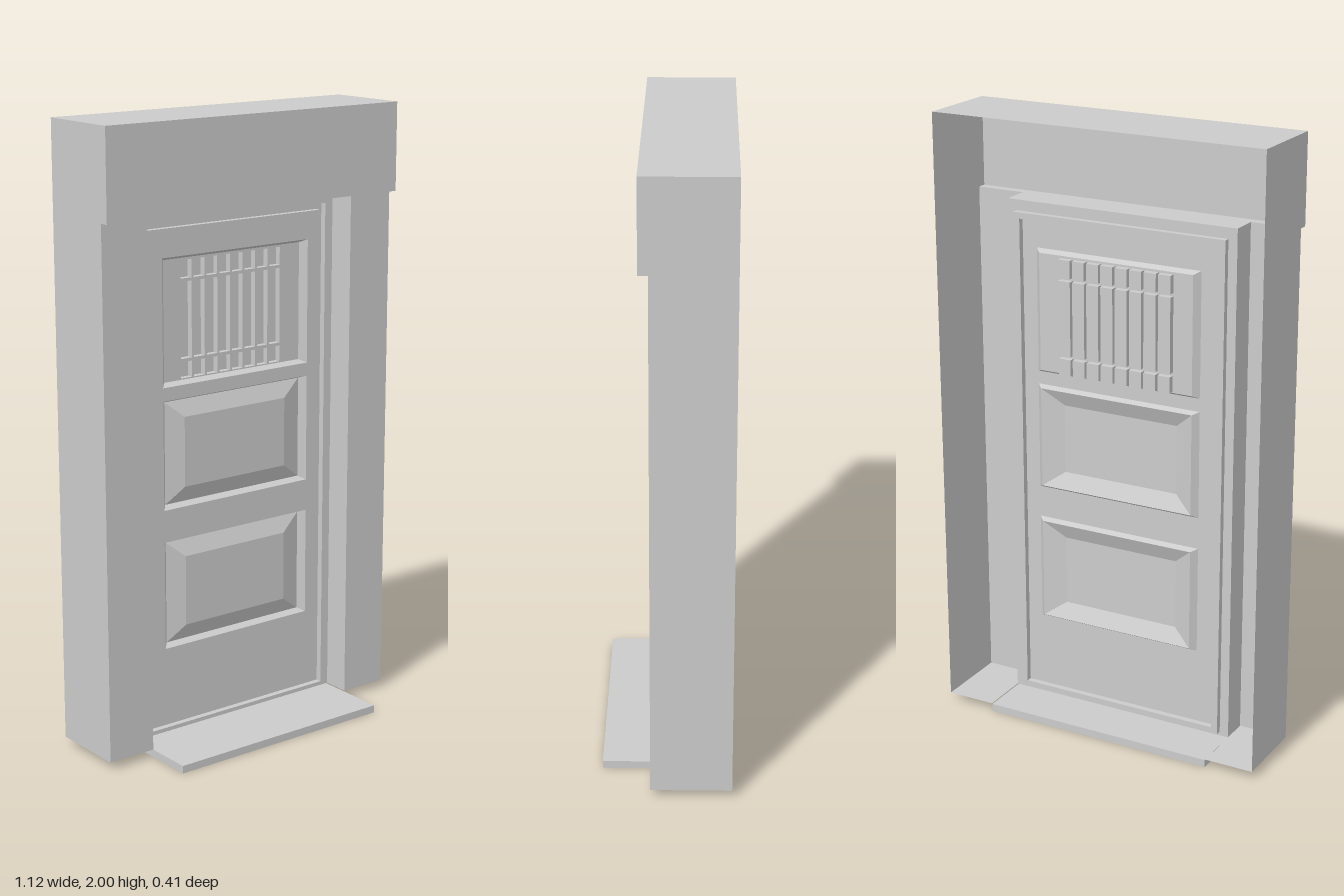
import * as THREE from 'three';

const material = new THREE.MeshStandardMaterial({ color: 0xcccccc, side: THREE.DoubleSide, flatShading: true });

// Main dimensions
const W = 0.56, OPEN = 0.397, BASE = 0.027, HEAD = 1.715, TOP = 2;
const BACK = -0.205, FRONT = 0.05, LINTEL = 0.08, DOOR = -0.04;

function add(parent, name, geometry) {
  const mesh = new THREE.Mesh(geometry, material);
  mesh.name = name;
  parent.add(mesh);
  return mesh;
}

// Sheet of flat quads, each given by four corners
function quads(list) {
  const pos = [];
  for (const [a, b, c, d] of list) pos.push(...a, ...b, ...c, ...a, ...c, ...d);
  const g = new THREE.BufferGeometry();
  g.setAttribute('position', new THREE.Float32BufferAttribute(pos, 3));
  g.computeVertexNormals();
  return g;
}

// Rectangle r = [x0, y0, x1, y1] as corners, counter-clockwise
const corners = ([x0, y0, x1, y1], z) => [[x0, y0, z], [x1, y0, z], [x1, y1, z], [x0, y1, z]];

// Relief from nested rectangles [rect, z], outermost first, optionally closed by the last
function relief(rings, capped) {
  const loops = rings.map(([r, z]) => corners(r, z));
  const list = [];
  for (let i = 0; i + 1 < loops.length; i++) {
    for (let k = 0; k < 4; k++) {
      const n = (k + 1) % 4;
      list.push([loops[i][k], loops[i][n], loops[i + 1][n], loops[i + 1][k]]);
    }
  }
  if (capped) list.push(loops[loops.length - 1]);
  return quads(list);
}

// Flat plate with rectangular holes
function plate(r, holes, z) {
  const pts = (q) => corners(q, 0).map(([x, y]) => new THREE.Vector2(x, y));
  const shape = new THREE.Shape(pts(r));
  for (const h of holes) shape.holes.push(new THREE.Path(pts(h).reverse()));
  return new THREE.ShapeGeometry(shape).translate(0, 0, z);
}

function createWall() {
  const wall = new THREE.Group();
  wall.name = 'wallSurround';
  for (const s of [-1, 1]) {
    const side = s > 0 ? 'left' : 'right';
    const x = s * W, o = s * OPEN;
    // Outer side, front pillar and foot of a hollow shell, open at the back
    const list = [
      [[x, BASE, BACK], [x, BASE, FRONT], [x, TOP, FRONT], [x, TOP, BACK]],
      [[x, HEAD, FRONT], [x, HEAD, LINTEL], [x, TOP, LINTEL], [x, TOP, FRONT]],
      [[o, BASE, FRONT], [x, BASE, FRONT], [x, HEAD, FRONT], [o, HEAD, FRONT]],
      [[o, BASE, BACK], [x, BASE, BACK], [x, BASE, FRONT], [o, BASE, FRONT]],
    ].map((q) => (s > 0 ? q : q.reverse()));
    add(wall, side + 'Pillar', quads(list));
    const reveal = [[o, BASE, FRONT], [o, BASE, DOOR], [o, HEAD, DOOR], [o, HEAD, FRONT]];
    add(wall, side + 'Reveal', quads([s > 0 ? reveal.reverse() : reveal]));
  }
  add(wall, 'lintel', quads([
    [[-W, HEAD, LINTEL], [W, HEAD, LINTEL], [W, TOP, LINTEL], [-W, TOP, LINTEL]],
    [[-W, TOP, LINTEL], [W, TOP, LINTEL], [W, TOP, BACK], [-W, TOP, BACK]],
    [[-W, HEAD, FRONT], [W, HEAD, FRONT], [W, HEAD, LINTEL], [-W, HEAD, LINTEL]],
  ]));
  add(wall, 'headReveal', quads([
    [[-OPEN, HEAD, DOOR], [OPEN, HEAD, DOOR], [OPEN, HEAD, FRONT], [-OPEN, HEAD, FRONT]],
  ]));
  return wall;
}

function createDoor() {
  const door = new THREE.Group();
  door.name = 'door';
  const recess = DOOR - 0.02;
  const leaf = [-0.345, 0.06, 0.345, 1.66];
  const gap = [-0.367, 0.04, 0.367, 1.68];

  // Frame with a narrow groove around the leaf
  add(door, 'doorFrame', relief([
    [[-OPEN, BASE, OPEN, HEAD], DOOR], [gap, DOOR], [gap, recess], [leaf, recess], [leaf, DOOR],
  ], false));

  // Leaf with one window and two panel openings
  const opening = (y0, y1) => [-0.28, y0, 0.295, y1];
  const windowHole = opening(1.165, 1.57);
  const panels = [[0.31, 0.665], [0.77, 1.122]];
  add(door, 'doorLeaf', plate(leaf, [windowHole, ...panels.map((p) => opening(...p))], DOOR));

  // Raised panels: sunk edge, then a bevel back up to the field
  for (const [y0, y1] of panels) {
    add(door, 'raisedPanel', relief([
      [opening(y0, y1), DOOR],
      [[-0.262, y0 + 0.012, 0.275, y1 - 0.008], recess],
      [[-0.2, y0 + 0.065, 0.2, y1 - 0.06], DOOR + 0.002],
    ], true));
  }

  // Window recess with a grid of sunk panes
  const floor = [-0.262, 1.176, 0.275, 1.56];
  add(door, 'windowEdge', relief([[windowHole, DOOR], [floor, recess]], false));
  const rows = [[1.18, 1.232], [1.242, 1.485], [1.495, 1.553]];
  const panes = [];
  for (const [y0, y1] of rows) {
    for (let i = 0; i < 8; i++) {
      const x = -0.2 + i * 0.05;
      panes.push([x + 0.004, y0, x + 0.046, y1]);
    }
  }
  add(door, 'windowGrille', plate(floor, panes, recess));
  for (const p of panes) add(door, 'windowPane', relief([[p, recess], [p, recess - 0.02]], true));
  return door;
}

export function createModel() {
  const model = new THREE.Group();
  model.name = 'doorway';
  model.add(createWall(), createDoor());
  // Doorstep reaching out past the wall
  add(model, 'doorstep', new THREE.BoxGeometry(0.79, 0.025, 0.41)).position.y = 0.0125;
  return model;
}
